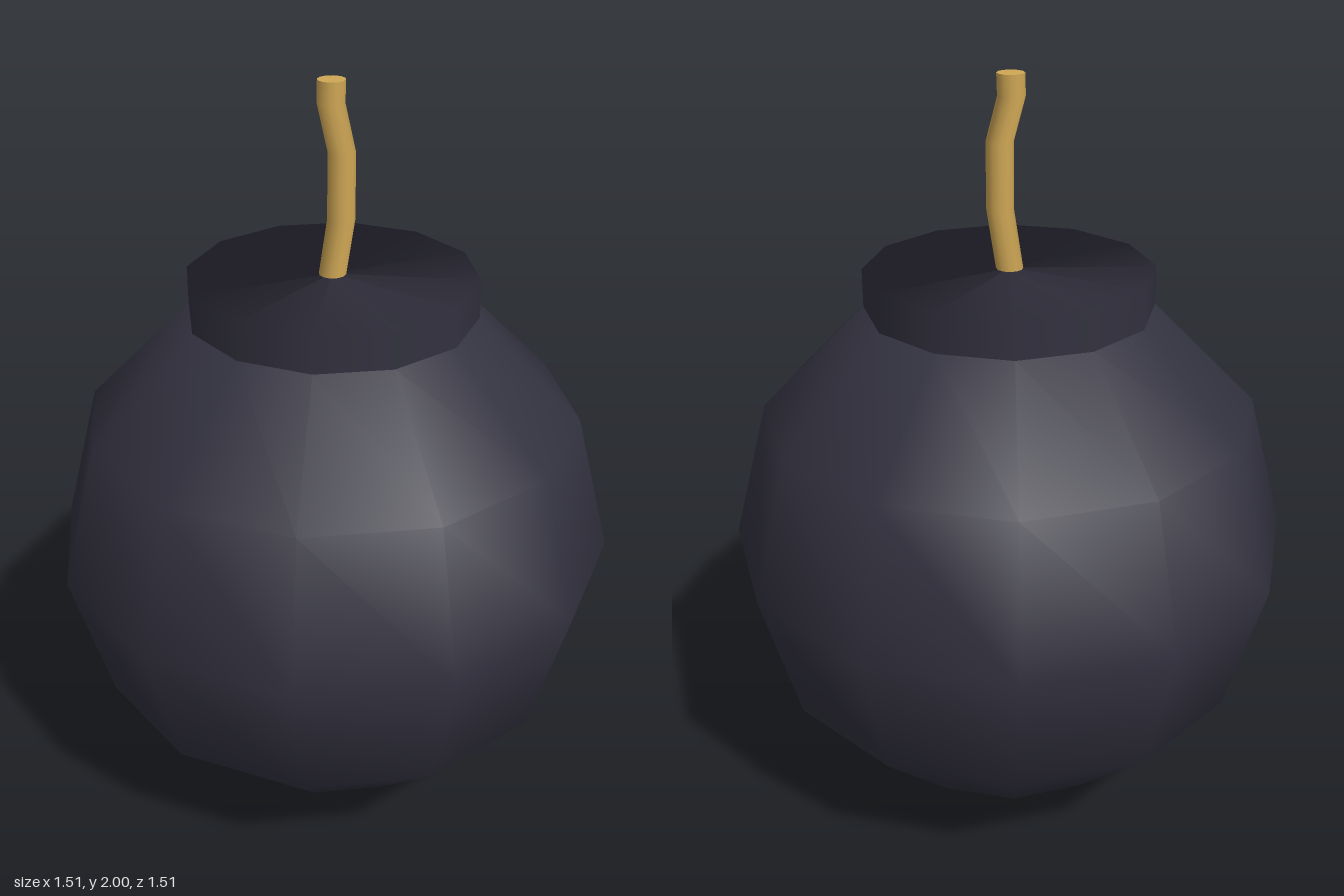
import * as THREE from 'three';

const R = 0.755;            // ball radius
const NECK = R / 2;         // collar radius, equal to the ball's 30 degree ring
const RIM = 1.51;           // height of the collar's rim
const SHOULDER = R + R * Math.cos(Math.PI / 6);

const iron = new THREE.MeshStandardMaterial({ color: 0x32313f });
iron.name = 'dark iron';
const cord = new THREE.MeshStandardMaterial({ color: 0xcfa755 });
cord.name = 'golden cord';

// Move every vertex of a geometry by a rule
function reshape(geometry, rule) {
  const p = geometry.attributes.position;
  const v = new THREE.Vector3();
  for (let i = 0; i < p.count; i++) {
    rule(v.fromBufferAttribute(p, i));
    p.setXYZ(i, v.x, v.y, v.z);
  }
  return geometry;
}

function addPart(group, name, geometry, material) {
  const mesh = new THREE.Mesh(geometry, material);
  mesh.name = name;
  group.add(mesh);
}

export function createModel() {
  const model = new THREE.Group();
  model.name = 'bomb';

  // Twelve-sided ball, open at the top where the collar sits
  const ball = new THREE.SphereGeometry(R, 12, 5, 0, Math.PI * 2, Math.PI / 6, Math.PI * 5 / 6);
  addPart(model, 'ball', ball.translate(0, R, 0), iron);

  // Collar: the upper row of the wall folds in flat to close the top,
  // keeping the wall's soft outward normals
  const collar = reshape(new THREE.CylinderGeometry(NECK, NECK, 2, 12, 2, true), (v) => {
    if (v.y > 0.5) v.set(0, RIM, 0);
    else v.y = v.y < -0.5 ? SHOULDER : RIM;
  });
  addPart(model, 'collar', collar, iron);

  // Crooked fuse: each row of a cylinder is placed at a [height, z] station
  const stations = [[RIM, 0], [1.66, 0.027], [1.83, 0.028], [1.945, -0.005], [2, -0.003]];
  const fuse = reshape(new THREE.CylinderGeometry(0.035, 0.035, 4, 12, 4), (v) => {
    const [y, z] = stations[Math.round(v.y + 2)];
    v.y = y;
    v.z += z;
  });
  addPart(model, 'fuse', fuse, cord);

  return model;
}
